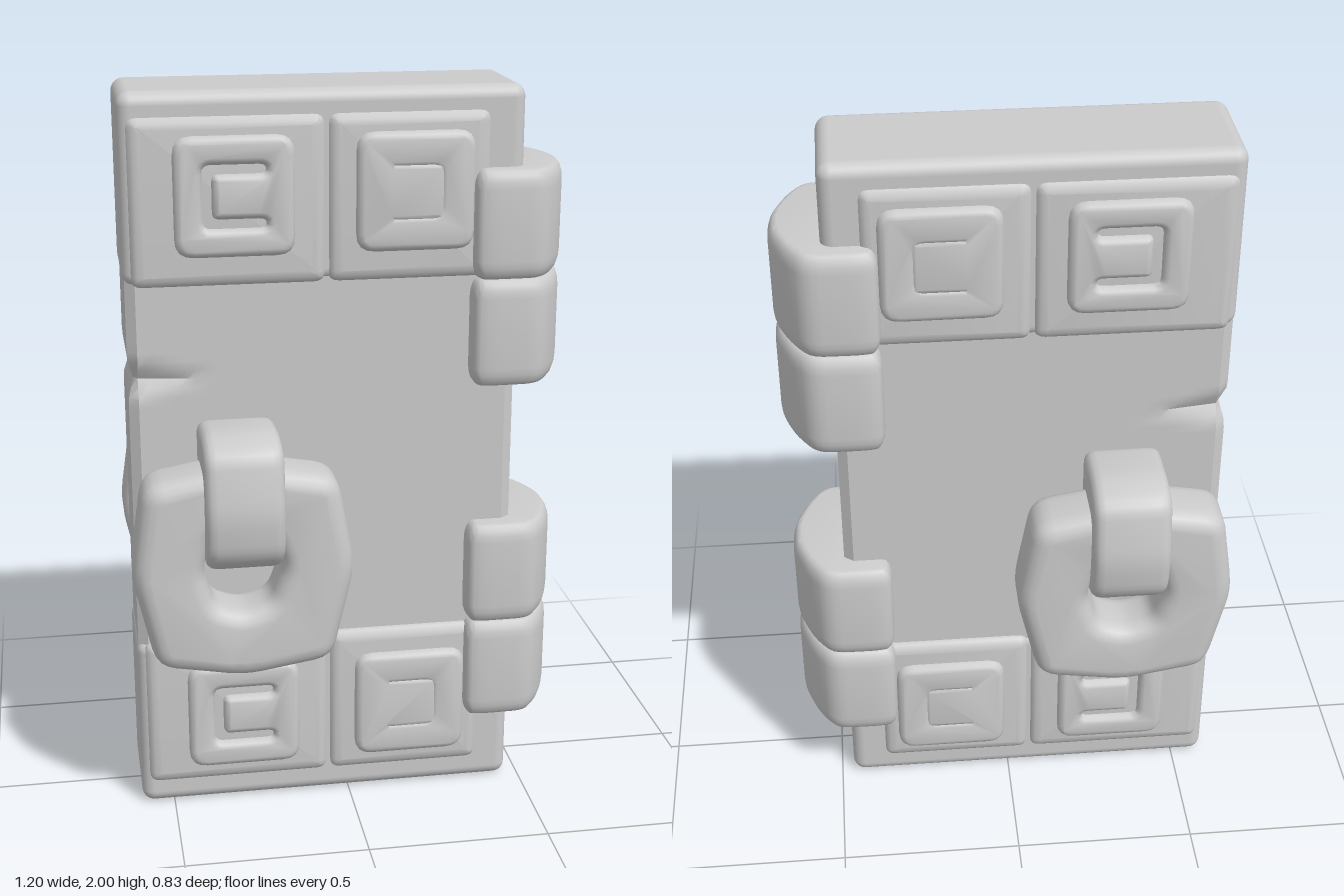
import * as THREE from 'three';
import { toCreasedNormals } from 'three/addons/utils/BufferGeometryUtils.js';
import { RoundedBoxGeometry } from 'three/addons/geometries/RoundedBoxGeometry.js';

const material = new THREE.MeshStandardMaterial({ color: 0xcccccc });

function addMesh(parent, name, geometry) {
  const mesh = new THREE.Mesh(geometry, material);
  mesh.name = name;
  parent.add(mesh);
  return mesh;
}

// Closed outline with rounded corners.
function rounded(points, radius, path = new THREE.Shape()) {
  const p = points.map(([x, y]) => new THREE.Vector2(x, y));
  p.forEach((corner, i) => {
    const before = p[(i + p.length - 1) % p.length];
    const after = p[(i + 1) % p.length];
    const toward = (q) => corner.clone().lerp(q, Math.min(0.45, radius / corner.distanceTo(q)));
    const a = toward(before), b = toward(after);
    if (i === 0) path.moveTo(a.x, a.y);
    else path.lineTo(a.x, a.y);
    path.quadraticCurveTo(corner.x, corner.y, b.x, b.y);
  });
  path.closePath();
  return path;
}

const rectangle = (x0, y0, x1, y1) => [[x0, y0], [x1, y0], [x1, y1], [x0, y1]];

// Extrusion from -half to half along z, with its bevel inside the outline.
function bevelled(shape, half, thickness, size, segments = 3) {
  const geometry = new THREE.ExtrudeGeometry(shape, {
    depth: 2 * (half - thickness), bevelThickness: thickness, bevelSize: size,
    bevelOffset: -size, bevelSegments: segments, curveSegments: 4,
  });
  geometry.translate(0, 0, thickness - half);
  return toCreasedNormals(geometry, 0.7);
}

// Middle of the door, with softened long edges and a wedge-shaped crack.
function doorMiddle() {
  const geometry = new THREE.BoxGeometry(1.04, 1.1, 0.31, 40, 44, 2);
  const pos = geometry.attributes.position;
  for (let i = 0; i < pos.count; i++) {
    const x = pos.getX(i) - 0.065, y = pos.getY(i) + 1, z = pos.getZ(i);
    const edge = Math.abs(pos.getX(i)) > 0.515;
    const reach = Math.max(0, 1 - (x + 0.585) / 0.22);
    const crack = reach > 0 ? Math.max(0, 1 - Math.abs(y - 1.25) / (0.055 * reach + 0.001)) * reach : 0;
    const inset = x < -0.58 ? crack * 0.015 : 0;
    pos.setXYZ(i, x + inset, y, z * (edge ? 0.87 : 1) * (1 - crack * 0.2));
  }
  geometry.computeVertexNormals();
  return toCreasedNormals(geometry, 0.6);
}

// Raised square with a C-shaped groove that curls round its middle.
function curl(cx, cy, inward, size) {
  const place = (pts) => pts.map(([x, y]) => [cx + x * inward * size, cy + y * size]);
  const shape = rounded(place(rectangle(-0.165, -0.165, 0.165, 0.165)), 0.05);
  shape.holes.push(rounded(place([
    [0.085, 0.085], [-0.085, 0.085], [-0.085, -0.085], [0.085, -0.085],
    [0.085, -0.062], [-0.062, -0.062], [-0.062, 0.062], [0.085, 0.062],
  ]), 0.02, new THREE.Path()));
  return bevelled(shape, 0.2, 0.028, 0.02);
}

export function createModel() {
  const model = new THREE.Group();
  model.name = 'door';
  addMesh(model, 'doorMiddle', doorMiddle());

  // Thick end blocks, each with two carved panels on both faces
  const ends = [
    { name: 'top', y0: 1.5, y1: 2, p0: 1.5, p1: 1.94, curlY: 1.735, size: 0.95 },
    { name: 'bottom', y0: 0, y1: 0.5, p0: 0.07, p1: 0.5, curlY: 0.275, size: 0.95 },
  ];
  for (const e of ends) {
    const block = new RoundedBoxGeometry(1.055, e.y1 - e.y0, 0.325, 4, 0.035);
    block.translate(-0.0625, (e.y0 + e.y1) / 2, 0);
    addMesh(model, e.name + 'Block', block);
    for (const [side, x0, x1, cx, inward] of [
      ['Right', -0.57, -0.063, -0.3, 1],
      ['Left', -0.057, 0.37, 0.17, -1],
    ]) {
      const outline = rounded(rectangle(x0, e.p0, x1, e.p1), 0.03);
      addMesh(model, e.name + side + 'Panel', bevelled(outline, 0.178, 0.024, 0.035));
      addMesh(model, e.name + side + 'Curl', curl(cx, e.curlY, inward, e.size));
    }
  }

  // Hinges: two stacked pairs of swollen knuckles wrapped over the edge
  const section = [
    [0.325, -0.21], [0.37, -0.222], [0.51, -0.22], [0.56, -0.15], [0.598, -0.05],
    [0.598, 0.05], [0.56, 0.15], [0.51, 0.22], [0.37, 0.222], [0.325, 0.21],
  ];
  for (const [name, y0, y1] of [
    ['lowerHingeBottom', 0.225, 0.515], ['lowerHingeTop', 0.515, 0.805],
    ['upperHingeBottom', 1.205, 1.497], ['upperHingeTop', 1.497, 1.787],
  ]) {
    const knuckle = bevelled(rounded(section, 0.04), (y1 - y0) / 2, 0.05, 0.024, 4);
    knuckle.rotateX(Math.PI / 2);
    addMesh(model, name, knuckle).position.y = (y0 + y1) / 2;
  }

  // Ring handle and the staple that holds it, on both faces
  const ringOutline = [
    [-0.545, 0.5], [-0.31, 0.458], [-0.07, 0.495], [-0.008, 0.76],
    [-0.055, 1.015], [-0.31, 1.06], [-0.565, 1.015], [-0.603, 0.76],
  ];
  const ringHole = [
    [-0.385, 0.67], [-0.31, 0.645], [-0.235, 0.67], [-0.2, 0.77],
    [-0.235, 0.87], [-0.31, 0.9], [-0.385, 0.87], [-0.415, 0.77],
  ];
  const stapleSide = [
    [0.13, 1.135], [0.3, 1.145], [0.39, 1.115], [0.418, 0.95],
    [0.405, 0.83], [0.34, 0.775], [0.22, 0.79], [0.2, 0.9], [0.13, 1.0],
  ];
  for (const [face, s] of [['front', 1], ['back', -1]]) {
    const outline = rounded(ringOutline, 0.05);
    outline.holes.push(rounded(ringHole, 0.03, new THREE.Path()));
    addMesh(model, face + 'Ring', bevelled(outline, 0.09, 0.05, 0.045, 4)).position.z = s * 0.258;

    const profile = rounded(stapleSide.map(([z, y]) => [-s * z, y]), 0.04);
    const staple = bevelled(profile, 0.103, 0.03, 0.025);
    staple.rotateY(Math.PI / 2);
    addMesh(model, face + 'Staple', staple).position.x = -0.307;
  }
  return model;
}
